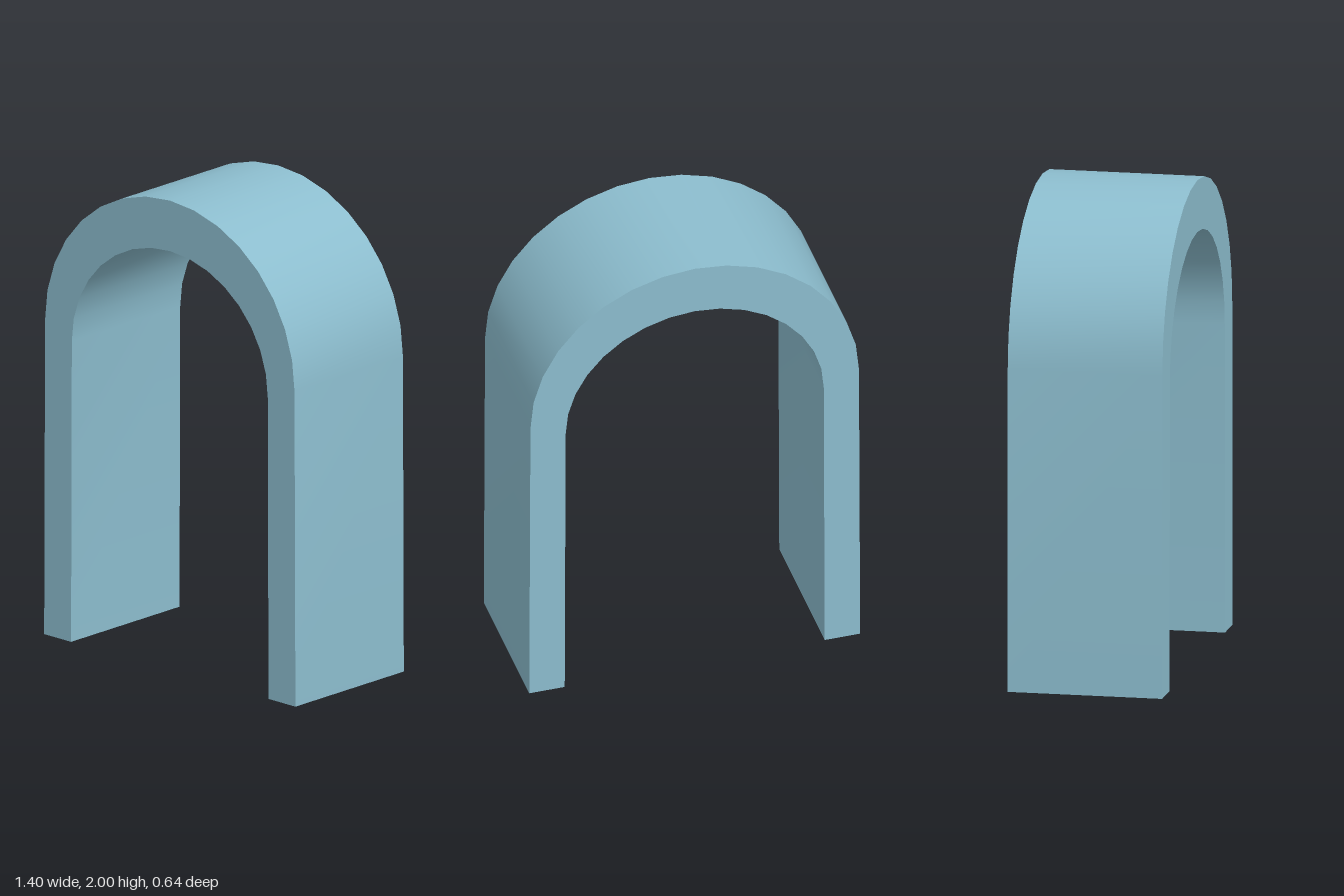
import * as THREE from 'three';
import { toCreasedNormals } from 'three/addons/utils/BufferGeometryUtils.js';

const DEPTH = 0.64;
const SEGMENTS = 16;

// Points of a half ellipse, running from +x over the top to -x
function halfEllipse(rx, ry, centreY) {
  const points = [];
  for (let i = 0; i <= SEGMENTS; i++) {
    const a = (i / SEGMENTS) * Math.PI;
    points.push(new THREE.Vector2(rx * Math.cos(a), centreY + ry * Math.sin(a)));
  }
  return points;
}

export function createModel() {
  const model = new THREE.Group();
  model.name = 'archway';

  const paleBlue = new THREE.MeshStandardMaterial({ color: 0x8cbdce });
  paleBlue.name = 'pale blue';

  // Outline: outer leg and curve, then back along the inner curve
  const outer = halfEllipse(0.695, 0.66, 1.34);
  const inner = halfEllipse(0.546, 0.505, 1.28).reverse();
  const outline = new THREE.Shape([
    new THREE.Vector2(0.7, 0),
    ...outer,
    new THREE.Vector2(-0.7, 0),
    new THREE.Vector2(-0.55, 0),
    ...inner,
    new THREE.Vector2(0.55, 0),
  ]);

  // Arch with smooth curved faces and sharp front and back rims
  const solid = new THREE.ExtrudeGeometry(outline, { depth: DEPTH, bevelEnabled: false });
  solid.translate(0, 0, -DEPTH / 2);
  const arch = new THREE.Mesh(toCreasedNormals(solid, Math.PI / 6), paleBlue);
  arch.name = 'arch';
  model.add(arch);

  return model;
}
